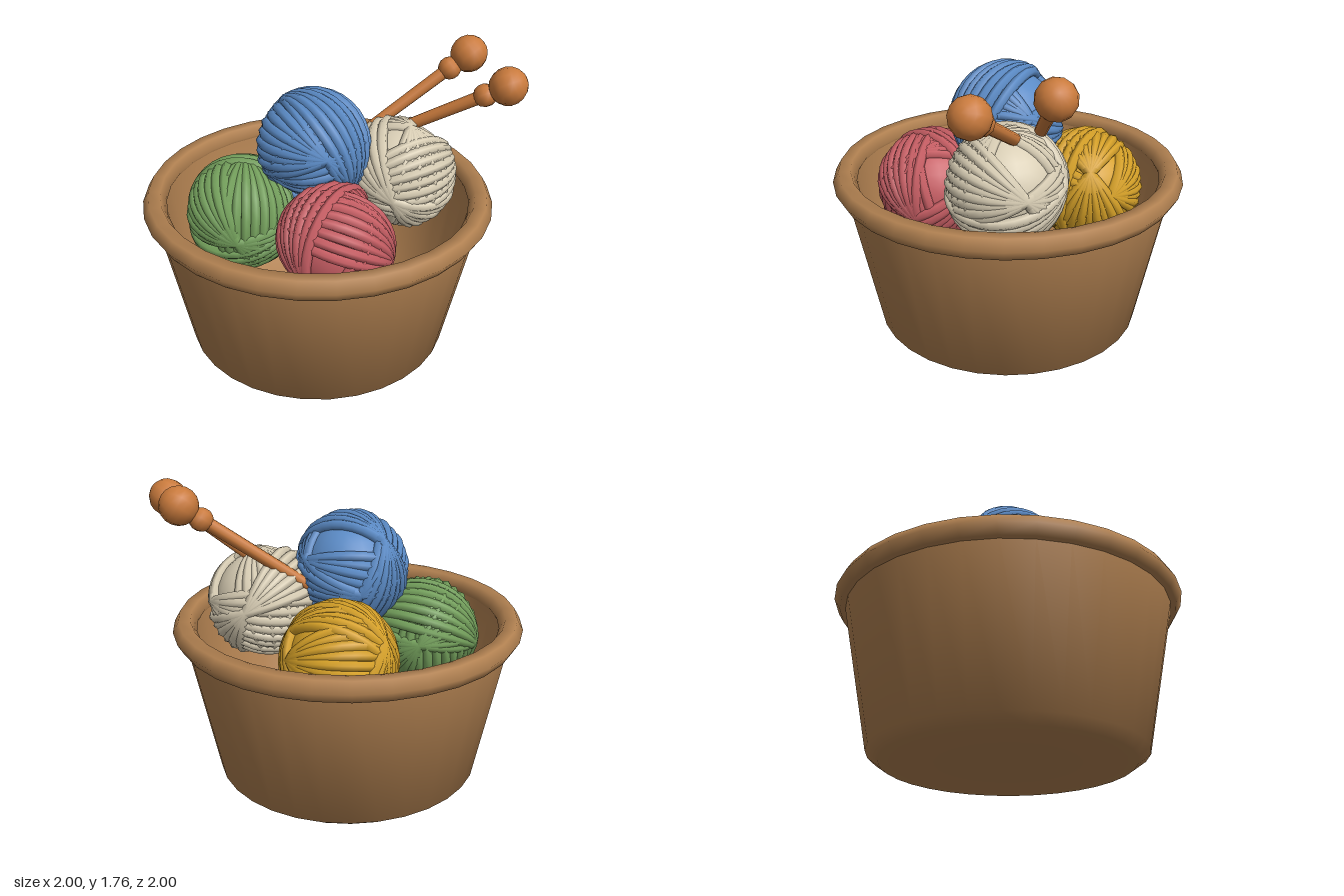
import * as THREE from 'three';
import { mergeGeometries, toCreasedNormals } from 'three/addons/utils/BufferGeometryUtils.js';

const V = (a) => new THREE.Vector3(...a);
const mat = (name, color) => new THREE.MeshStandardMaterial({ name, color });

function add(group, name, geometry, material) {
  const mesh = new THREE.Mesh(geometry, material);
  mesh.name = name;
  group.add(mesh);
  return mesh;
}

// Bundle of yarn loops fanned about a pole; every loop passes through the pole
function yarnBundle(pole, across, count, step, radius, tube) {
  const x = V(pole).normalize();
  const y = new THREE.Vector3().crossVectors(V(across), x).normalize();
  const z = new THREE.Vector3().crossVectors(x, y);
  const frame = new THREE.Matrix4().makeBasis(x, y, z);
  const loops = [];
  for (let i = 0; i < count; i++) {
    const loop = new THREE.TorusGeometry(radius + 0.004 * (i % 2), tube, 6, 32);
    loop.rotateX((i - (count - 1) / 2) * step);
    loops.push(loop.applyMatrix4(frame));
  }
  return loops;
}

// Solid core wrapped in three layers of yarn, the last layer on top
function yarnBall(bundles) {
  const parts = [new THREE.SphereGeometry(0.285, 24, 16)];
  bundles.forEach(([pole, across, count], i) =>
    parts.push(...yarnBundle(pole, across, count, 0.18, 0.284 + i * 0.009, 0.03)));
  return mergeGeometries(parts);
}

export function createModel() {
  const model = new THREE.Group();
  model.name = 'yarnBasket';
  const tan = mat('basketTan', 0xb08050);
  const wood = mat('needleWood', 0xc97a3c);

  // Basket: one closed wall profile, outside then inside
  const profile = [
    [0, 0], [0.7, 0], [0.77, 0.05], [0.94, 0.9], [0.94, 0.95],
    [0.88, 0.95], [0.87, 0.88], [0.72, 0.12], [0.66, 0.06], [0, 0.06],
  ].map(([x, y]) => new THREE.Vector2(x, y));
  add(model, 'basketBowl', toCreasedNormals(new THREE.LatheGeometry(profile, 32), 0.9), tan);
  const rim = new THREE.TorusGeometry(0.932, 0.067, 6, 32).rotateX(Math.PI / 2);
  add(model, 'basketRim', rim, tan).position.y = 0.927;

  // Yarn balls: name, colour, centre, bundles of [pole, direction across strands, count]
  const balls = [
    ['blueYarn', 0x5b8bc6, [-0.02, 1.237, -0.01], [
      [[1, 0.3, 0.3], [0, 1, -0.4], 10], [[-0.6, 0.2, 0.8], [0.3, 1, 0.2], 9], [[0, 0.65, -0.75], [1, 0, 0], 7]]],
    ['creamYarn', 0xd9ceb5, [0.335, 1.05, 0.335], [
      [[0, 1, 0.2], [1, 0, 0.4], 10], [[0.9, 0.1, 0.4], [0, 1, -0.3], 9], [[-0.9, -0.1, 0.5], [0.2, 0.7, 0.7], 6]]],
    ['yellowYarn', 0xd6a128, [0.36, 0.865, -0.28], [
      [[1, 0.2, 0.4], [0, 1, 0.2], 10], [[0.6, 0.6, 0.6], [0.7, 0, -0.7], 9], [[-0.2, 0.5, -0.8], [1, 0.3, 0], 6]]],
    ['greenYarn', 0x74a05c, [-0.32, 0.845, -0.29], [
      [[0.3, 1, -0.2], [1, 0, 0.5], 10], [[0.8, 0.1, -0.6], [0.3, 0.8, 0.4], 9], [[0.5, 0.2, 0.8], [-0.8, 0.6, 0.3], 7]]],
    ['redYarn', 0xc75e64, [-0.26, 0.86, 0.345], [
      [[0.2, 0.8, 0.5], [1, 0, 0], 10], [[-0.5, 0.3, -0.8], [0.8, 0.4, 0], 8], [[0.95, 0.3, -0.1], [0, 0.5, 0.8], 8]]],
  ];
  for (const [name, color, centre, bundles] of balls) {
    add(model, name, yarnBall(bundles), mat(name, color)).position.copy(V(centre));
  }

  // Knitting needles: tapered shaft, small bead and round knob, built along +y from the tip
  const needle = (name, tip, knob) => {
    const group = new THREE.Group();
    group.name = name;
    const dir = V(knob).sub(V(tip));
    const length = dir.length();
    const shaft = new THREE.CylinderGeometry(0.038, 0.032, length, 10).translate(0, length / 2, 0);
    add(group, 'needleShaft', shaft, wood);
    add(group, 'needleBead', new THREE.SphereGeometry(0.066, 10, 7), wood).position.y = length - 0.135;
    add(group, 'needleKnob', new THREE.SphereGeometry(0.106, 12, 9), wood).position.y = length;
    group.position.copy(V(tip));
    group.quaternion.setFromUnitVectors(new THREE.Vector3(0, 1, 0), dir.normalize());
    model.add(group);
  };
  needle('frontNeedle', [0.325, 1.19, 0.13], [0.61, 1.615, 0.82]);
  needle('sideNeedle', [0.2, 1.13, 0], [0.795, 1.66, 0.46]);

  return model;
}
